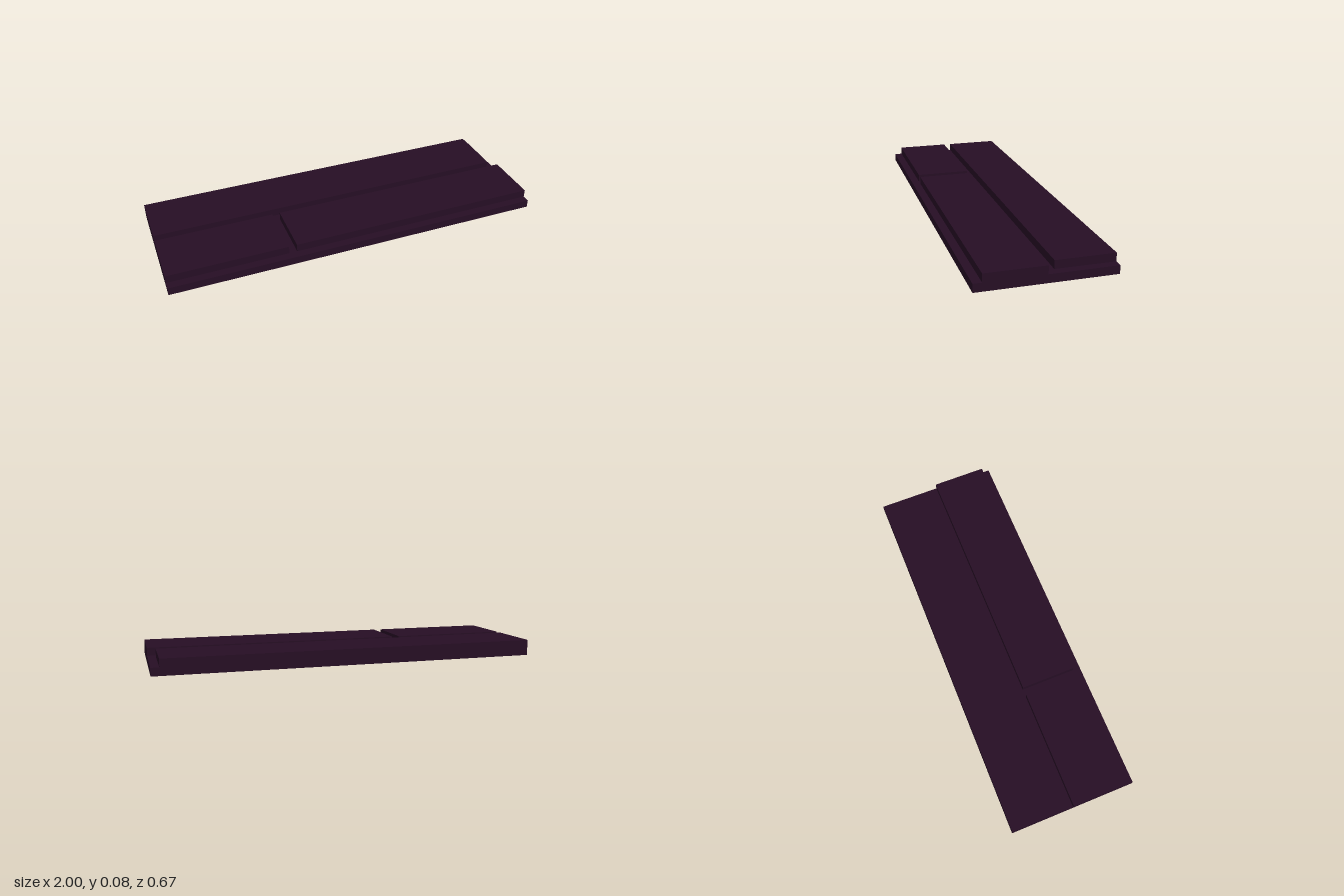
import * as THREE from 'three';

export function createModel() {
  const group = new THREE.Group();
  const darkPlum = new THREE.MeshStandardMaterial({ color: 0x260e24 });
  darkPlum.name = 'darkPlum';

  // Box given by its extents on each axis
  function block(name, [x0, x1], [y0, y1], [z0, z1]) {
    const mesh = new THREE.Mesh(new THREE.BoxGeometry(x1 - x0, y1 - y0, z1 - z0), darkPlum);
    mesh.position.set((x0 + x1) / 2, (y0 + y1) / 2, (z0 + z1) / 2);
    mesh.name = name;
    group.add(mesh);
  }

  const base = [0, 0.0417];
  const raised = [0.0417, 0.0833];
  const backRow = [-0.3333, -0.0417];
  const frontRow = [0, 0.2917];

  // Bed slab, with the grooves left open between the raised blocks
  block('baseSlab', [-1, 1], base, [-0.3333, 0.3333]);

  // Raised blocks in two staggered rows
  block('backBlock', [-1, 0.9583], raised, backRow);
  block('frontRightBlock', [-1, -0.379], raised, frontRow);
  block('frontLeftBlock', [-0.3375, 1], raised, frontRow);

  return group;
}
